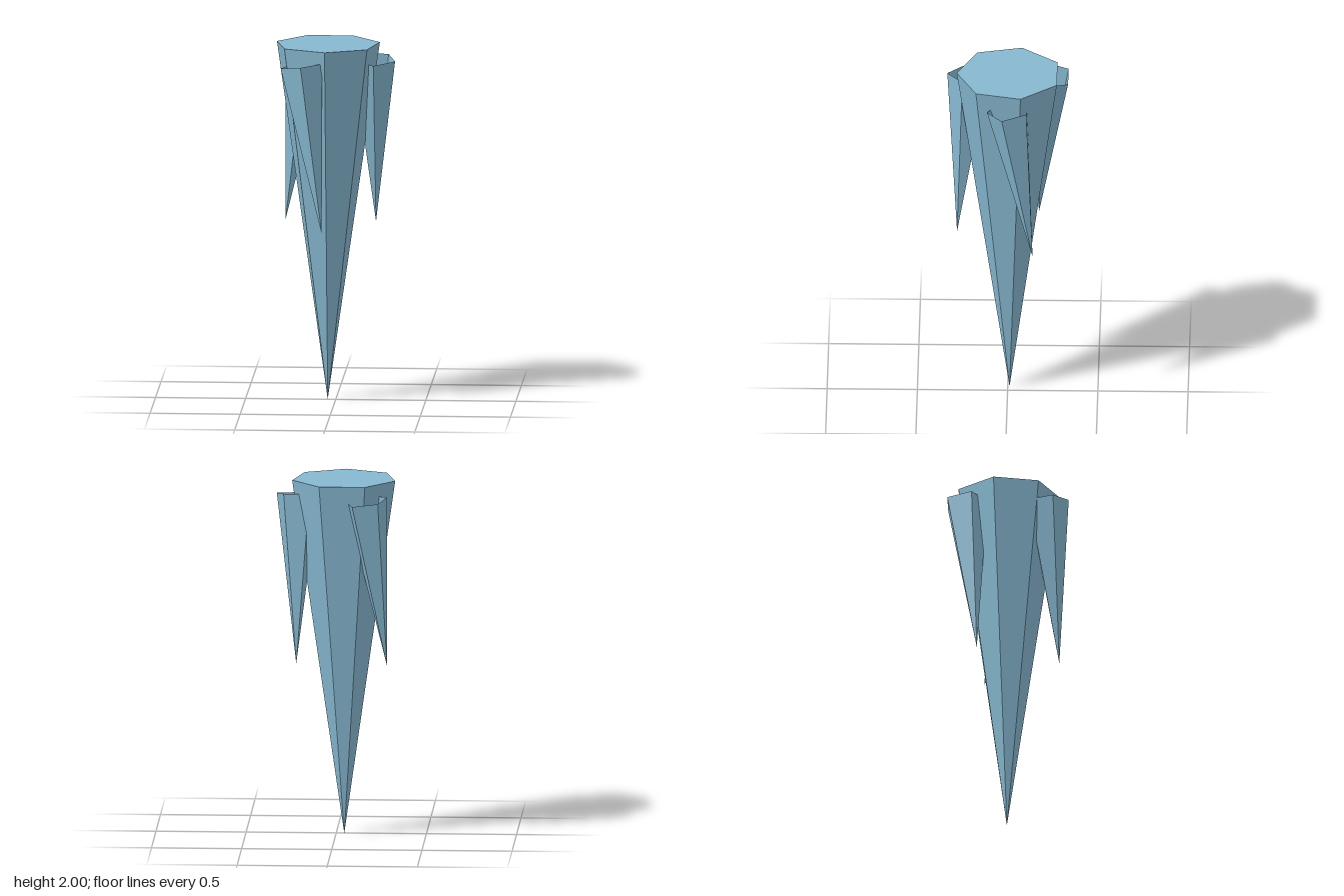
import * as THREE from 'three';

export function createModel() {
  const group = new THREE.Group();
  const ice = new THREE.MeshStandardMaterial({ color: 0x86b8d0, flatShading: true, side: THREE.DoubleSide });
  ice.name = 'iceBlue';

  // Downward-pointing cone with the centre of its rim at the origin
  function addSpike(name, radius, length, sides, open) {
    const geometry = new THREE.ConeGeometry(radius, length, sides, 1, open);
    geometry.rotateZ(Math.PI).translate(0, -length / 2, 0);
    const mesh = new THREE.Mesh(geometry, ice);
    mesh.name = name;
    group.add(mesh);
    return mesh;
  }

  // Large central icicle with a closed top
  const cx = -0.045, cz = -0.01;
  addSpike('mainIcicle', 0.293, 2, 7, false).position.set(cx, 2, cz);

  // Three small open icicles around it, each leaning sideways along the ring
  const down = new THREE.Vector3(0, -1, 0);
  for (let i = 0; i < 3; i++) {
    const a = (i * Math.PI * 2) / 3;
    const lean = new THREE.Vector3(0.132 * Math.sin(a), -0.936, -0.132 * Math.cos(a));
    const spike = addSpike('sideIcicle' + (i + 1), 0.122, lean.length(), 5, true);
    spike.position.set(cx + 0.26 * Math.cos(a), 1.915, cz + 0.26 * Math.sin(a));
    spike.quaternion.setFromUnitVectors(down, lean.normalize());
  }
  return group;
}
